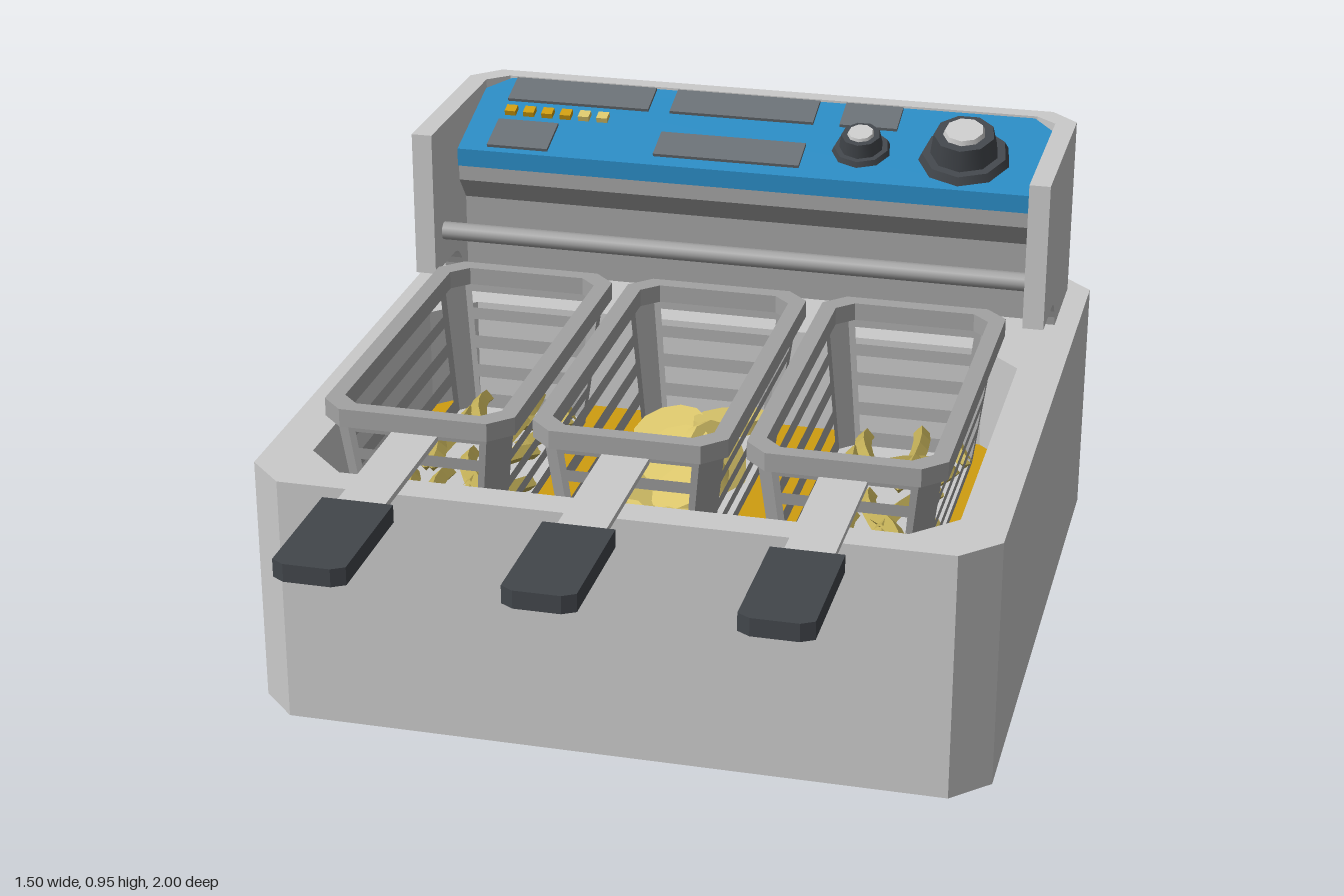
import * as THREE from 'three';
import { mergeGeometries } from 'three/addons/utils/BufferGeometryUtils.js';

const mat = (name, color, both) => {
  const m = new THREE.MeshStandardMaterial({ color });
  m.name = name;
  if (both) m.side = THREE.DoubleSide;
  return m;
};

// Rectangle outline with cut corners, as [x, z] points
const octo = (hx, hz, c, cz = 0) => [
  [-hx + c, -hz], [hx - c, -hz], [hx, -hz + c], [hx, hz - c],
  [hx - c, hz], [-hx + c, hz], [-hx, hz - c], [-hx, -hz + c],
].map(([x, z]) => [x, z + cz]);

const planShape = (pts, hole) => {
  const toV = ([x, z]) => new THREE.Vector2(x, -z);
  const s = new THREE.Shape(pts.map(toV));
  if (hole) s.holes.push(new THREE.Path(hole.map(toV)));
  return s;
};
// Flat sheet and upright solid from a plan outline
const sheet = (pts, y, hole) =>
  new THREE.ShapeGeometry(planShape(pts, hole)).rotateX(-Math.PI / 2).translate(0, y, 0);
const upright = (pts, y, h, hole) =>
  new THREE.ExtrudeGeometry(planShape(pts, hole), { depth: h, bevelEnabled: false })
    .rotateX(-Math.PI / 2).translate(0, y, 0);
// Solid from a side profile in (z, y), running along x
const sideways = (shape, x, w) =>
  new THREE.ExtrudeGeometry(shape, { depth: w, bevelEnabled: false, curveSegments: 6 })
    .rotateY(-Math.PI / 2).translate(x + w / 2, 0, 0);
const box = (w, h, d, x, y, z) => new THREE.BoxGeometry(w, h, d).translate(x, y, z);

// Thin wall between two outlines; slots are cut through the straight sides
function loftWall(low, high, y0, y1, slots = []) {
  const sides = low.map((_, i) => {
    const j = (i + 1) % low.length;
    const s = new THREE.Shape([[0, 0], [1, 0], [1, 1], [0, 1]].map(p => new THREE.Vector2(...p)));
    if (i % 2 === 0) for (const v of slots) {
      s.holes.push(new THREE.Path(
        [[0.05, v], [0.05, v + 0.13], [0.95, v + 0.13], [0.95, v]].map(p => new THREE.Vector2(...p))));
    }
    const g = new THREE.ShapeGeometry(s), p = g.attributes.position, mix = THREE.MathUtils.lerp;
    for (let k = 0; k < p.count; k++) {
      const u = p.getX(k), v = p.getY(k);
      const at = a => mix(mix(low[i][a], low[j][a], u), mix(high[i][a], high[j][a], u), v);
      p.setXYZ(k, at(0), mix(y0, y1, v), at(1));
    }
    // outlines run so that the outside needs the reversed order
    const idx = Array.from(g.index.array);
    for (let k = 0; k < idx.length; k += 3) [idx[k], idx[k + 1]] = [idx[k + 1], idx[k]];
    g.setIndex(idx);
    g.computeVertexNormals();
    return g;
  });
  return mergeGeometries(sides);
}

export function createModel() {
  const root = new THREE.Group();
  const steel = mat('brushed steel', 0xcacaca, true);
  const wire = mat('basket steel', 0xa2a2a2, true);
  const blue = mat('panel blue', 0x2a8ac2);
  const dark = mat('dark plastic', 0x42464b);
  const label = mat('label grey', 0x6a7075);
  const oil = mat('oil', 0xcf9d10, true);
  const fry = mat('fries', 0xbfac56);
  const potato = mat('potato slices', 0xdcc76c);
  const add = (parent, name, geo, m) => {
    const mesh = new THREE.Mesh(geo, m);
    mesh.name = name;
    parent.add(mesh);
    return mesh;
  };

  // Open-bottomed body with a sunken oil tank
  const outer = octo(0.75, 0.735, 0.075, -0.225);
  const opening = octo(0.655, 0.462, 0.085, -0.022);
  add(root, 'bodyWalls', loftWall(outer, outer, 0, 0.525), steel);
  add(root, 'bodyTop', sheet(outer, 0.525, opening), steel);
  add(root, 'tankWalls', loftWall(opening, opening, 0.3, 0.525), steel);
  add(root, 'oilSurface', sheet(opening, 0.3), oil);

  // Back vents
  for (let i = 0; i < 3; i++)
    add(root, 'vent', box(0.41, 0.05, 0.05, 0, 0.183 + i * 0.107, -0.975), dark);

  // Control housing: U-shaped back and two arms
  add(root, 'housingBack', upright([
    [-0.7, -0.66], [-0.7, -0.88], [-0.64, -0.94], [0.64, -0.94], [0.7, -0.88], [0.7, -0.66],
    [0.655, -0.66], [0.655, -0.86], [0.61, -0.9], [-0.61, -0.9], [-0.655, -0.86], [-0.655, -0.66],
  ], 0.525, 0.395), steel);
  const arm = new THREE.Shape();
  arm.moveTo(-0.66, 0.92);
  arm.lineTo(-0.66, 0.525);
  arm.quadraticCurveTo(-0.635, 0.595, -0.59, 0.597);
  arm.lineTo(-0.45, 0.597);
  arm.lineTo(-0.45, 0.92);
  for (const s of [-1, 1]) add(root, 'housingArm', sideways(arm, s * 0.6775, 0.045), steel);

  // Recessed housing front and cross rod
  const front = new THREE.Shape([[-0.89, 0.79], [-0.89, 0.525], [-0.68, 0.525], [-0.68, 0.7],
    [-0.635, 0.755], [-0.635, 0.79]].map(p => new THREE.Vector2(...p)));
  add(root, 'housingFront', sideways(front, 0, 1.22), wire);
  add(root, 'housingFrontFace', sideways(new THREE.Shape([[-0.72, 0.79], [-0.72, 0.525],
    [-0.68, 0.525], [-0.68, 0.7], [-0.635, 0.755], [-0.635, 0.79]]
    .map(p => new THREE.Vector2(...p))), 0, 1.308), wire);
  add(root, 'crossRod',
    new THREE.CylinderGeometry(0.02, 0.02, 1.31, 10).rotateZ(Math.PI / 2).translate(0, 0.675, -0.52), wire);

  // Sloping control panel
  const panelGeo = upright([[-0.655, -0.63], [-0.655, -0.855], [-0.605, -0.9],
    [0.605, -0.9], [0.655, -0.855], [0.655, -0.63]], 0.79, 0.04);
  const pp = panelGeo.attributes.position;
  for (let i = 0; i < pp.count; i++)
    if (pp.getY(i) > 0.81) pp.setY(i, 0.83 + (-0.63 - pp.getZ(i)) * 0.315);
  panelGeo.computeVertexNormals();
  add(root, 'controlPanel', panelGeo, blue);

  // Labels, lights and knobs lie in the slope of the panel
  const controls = new THREE.Group();
  controls.name = 'controls';
  controls.position.set(0, 0.83, -0.63);
  controls.rotation.x = Math.atan(0.315);
  root.add(controls);
  const slope = z => (z + 0.63) * 1.048;
  for (const [x0, x1, z0, z1] of [[-0.59, -0.26, -0.895, -0.815], [-0.59, -0.45, -0.74, -0.645],
    [-0.21, 0.12, -0.895, -0.815], [-0.21, 0.12, -0.74, -0.66], [0.18, 0.31, -0.895, -0.815]])
    add(controls, 'label', box(x1 - x0, 0.008, slope(z1) - slope(z0),
      (x0 + x1) / 2, 0.003, slope((z0 + z1) / 2)), label);
  for (let i = 0; i < 6; i++)
    add(controls, 'indicatorLight', box(0.025, 0.014, 0.025, -0.57 + i * 0.043, 0.005, slope(-0.775)),
      i < 4 ? oil : potato);
  for (const [x, r] of [[0.245, 0.066], [0.475, 0.102]]) {
    const knob = new THREE.Group();
    knob.name = 'knob';
    knob.position.set(x, 0, slope(-0.74));
    controls.add(knob);
    const disc = (name, r0, r1, y, h, m) =>
      add(knob, name, new THREE.CylinderGeometry(r0 * r, r1 * r, h * r, 9).translate(0, (y + h / 2) * r, 0), m);
    disc('knobBase', 0.92, 1, 0, 0.18, dark);
    disc('knobGrip', 0.66, 0.74, 0.18, 0.48, dark);
    disc('knobCap', 0.42, 0.46, 0.66, 0.1, steel);
  }

  // Fry basket with slotted walls, rim and handle
  const gripShape = [[-0.07, 0.72], [0.07, 0.72], [0.07, 0.985], [0.045, 1], [-0.045, 1], [-0.07, 0.985]];
  const makeBasket = x => {
    const g = new THREE.Group();
    g.name = 'basket';
    g.position.x = x;
    const low = octo(0.145, 0.355, 0.03, -0.02), high = octo(0.18, 0.39, 0.035, -0.02);
    add(g, 'basketWalls', loftWall(low, high, 0.32, 0.605, [0.11, 0.34, 0.57, 0.79]), wire);
    add(g, 'basketBottom', sheet(low, 0.32), steel);
    add(g, 'basketRim', upright(octo(0.197, 0.413, 0.045, -0.02), 0.602, 0.038,
      octo(0.163, 0.378, 0.035, -0.02)), wire);
    add(g, 'handleBar', box(0.095, 0.012, 0.36, 0, 0.592, 0.56), steel);
    add(g, 'handleGrip', upright(gripShape, 0.573, 0.036), dark);
    root.add(g);
    return g;
  };
  const baskets = [-0.43, 0, 0.43].map(makeBasket);

  // Fries: bent four-sided sticks as [x0, z0, x1, z1]
  const fries = [
    [-0.09, -0.37, -0.04, -0.19], [0.03, -0.37, 0.03, -0.09], [0.1, -0.37, 0.15, -0.2],
    [-0.1, -0.28, -0.11, 0], [-0.04, -0.12, 0.07, -0.22], [0.13, -0.15, 0.08, -0.04],
    [-0.03, -0.08, 0.03, 0.09], [-0.13, -0.1, -0.08, 0.04], [0.12, -0.04, 0.04, 0.16],
    [-0.13, 0.04, -0.08, 0.29], [-0.04, 0.06, 0, 0.29], [0.02, 0.1, 0.1, 0.29],
    [0.13, 0.03, 0.05, 0.29], [-0.12, 0.21, -0.06, 0.3],
  ];
  for (const b of [baskets[0], baskets[2]]) fries.forEach(([x0, z0, x1, z1], i) => {
    const y = 0.345 + (i % 3) * 0.02, bend = i % 2 ? 0.03 : -0.03;
    const path = new THREE.QuadraticBezierCurve3(new THREE.Vector3(x0, y, z0),
      new THREE.Vector3((x0 + x1) / 2 + bend, y + 0.025, (z0 + z1) / 2), new THREE.Vector3(x1, y, z1));
    const stick = new THREE.TubeGeometry(path, 5, 0.018, 4).toNonIndexed();
    stick.computeVertexNormals();
    const caps = [0, 1].map(t => new THREE.OctahedronGeometry(0.013).translate(...path.getPoint(t).toArray()));
    add(b, 'fry', mergeGeometries([stick, ...caps]), fry);
  });

  // Potato slices: tilted flat discs as [x, z, tilt x, tilt z]
  [[-0.075, -0.235, 0.15, 0.1], [0.07, -0.275, -0.2, 0.1], [0.07, -0.11, 0.5, -0.8],
    [-0.01, -0.065, 0.25, 0.1], [-0.08, 0.07, -0.15, -0.3], [0.06, 0.065, 0.15, 0.4],
    [-0.085, 0.24, 0.1, 0.15], [0.06, 0.24, -0.2, 0.1]].forEach(([x, z, tx, tz], i) => {
    const slice = add(baskets[1], 'potatoSlice', new THREE.CylinderGeometry(0.08, 0.084, 0.026, 12), potato);
    slice.scale.z = 1.25;
    slice.position.set(x * 0.85, 0.365 + (i % 2) * 0.025, z);
    slice.rotation.set(tx, 0, tz);
  });

  return root;
}
